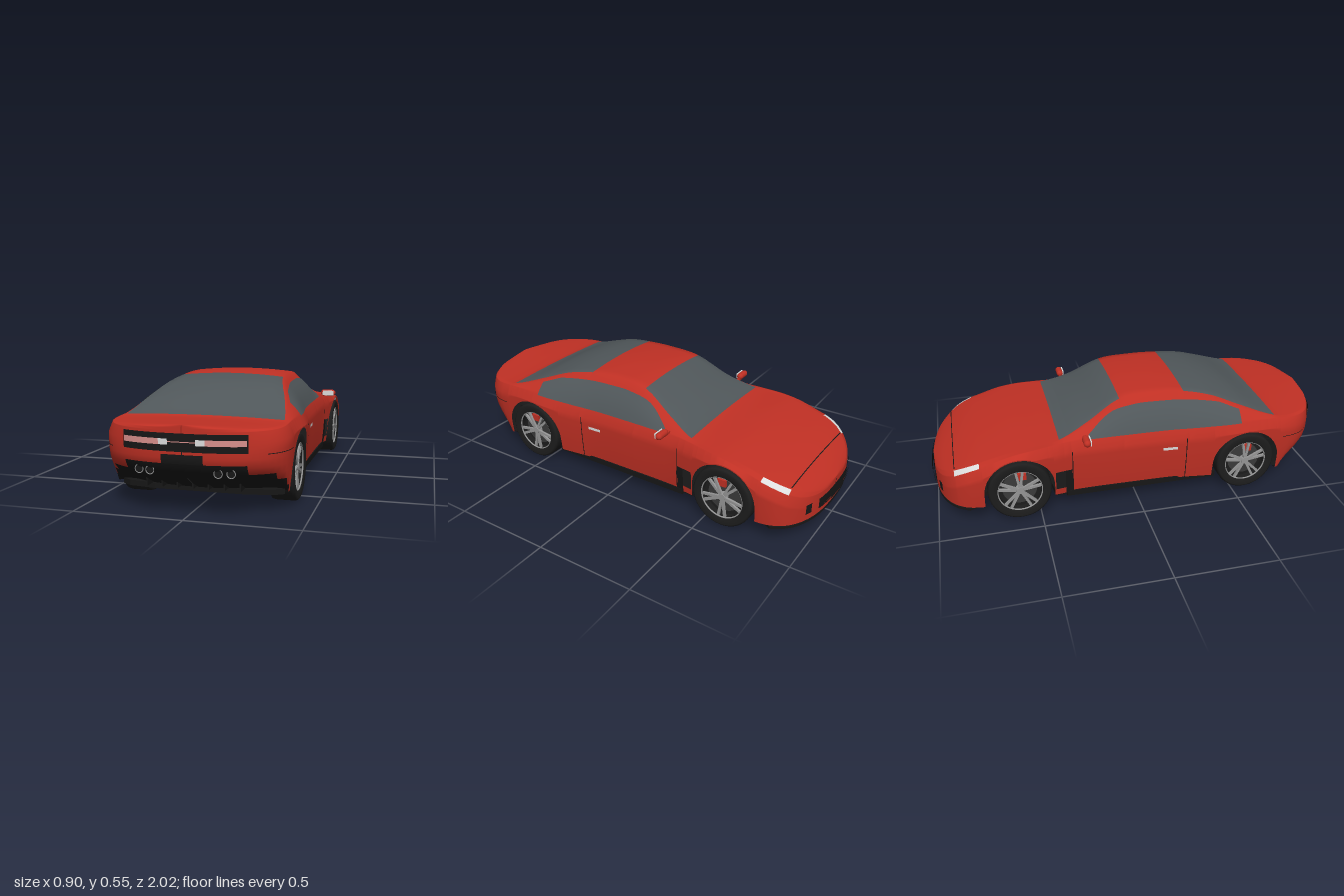
import * as THREE from 'three';

const mat = (name, color, double = true) => {
  const m = new THREE.MeshStandardMaterial({ color, side: double ? THREE.DoubleSide : THREE.FrontSide });
  m.name = name;
  return m;
};

// Smooth curve through (key, value) pairs
function curve(keys, vals) {
  const n = keys.length;
  const slope = i => {
    const a = Math.max(0, i - 1), b = Math.min(n - 1, i + 1);
    return (vals[b] - vals[a]) / (keys[b] - keys[a]);
  };
  return z => {
    z = Math.min(keys[n - 1], Math.max(keys[0], z));
    let i = 0;
    while (i < n - 2 && z > keys[i + 1]) i++;
    const h = keys[i + 1] - keys[i], t = (z - keys[i]) / h, t2 = t * t, t3 = t2 * t;
    return vals[i] * (2 * t3 - 3 * t2 + 1) + vals[i + 1] * (3 * t2 - 2 * t3)
      + h * (slope(i) * (t3 - 2 * t2 + t) + slope(i + 1) * (t3 - t2));
  };
}

// Surface grid; pick(i, j) gives a material index, or -1 for a hole
function grid(rows, cols, point, pick = () => 0) {
  const pos = [], lists = [];
  for (let i = 0; i <= rows; i++) for (let j = 0; j <= cols; j++) pos.push(...point(i, j));
  for (let i = 0; i < rows; i++) for (let j = 0; j < cols; j++) {
    const k = pick(i, j);
    if (k < 0) continue;
    const a = i * (cols + 1) + j, c = a + cols + 1;
    (lists[k] ??= []).push(a, a + 1, c, a + 1, c + 1, c);
  }
  const g = new THREE.BufferGeometry();
  g.setAttribute('position', new THREE.Float32BufferAttribute(pos, 3));
  g.setIndex(lists.flat());
  let start = 0;
  lists.forEach((l, k) => { g.addGroup(start, l.length, k); start += l.length; });
  g.computeVertexNormals();
  return g;
}

// Body curves along z (nose at -1, tail at +1)
const Z = [-1, -0.95, -0.85, -0.74, -0.6, -0.39, -0.24, -0.07, 0.1, 0.26, 0.4, 0.53, 0.72, 0.85, 1];
const topY = curve(Z, [.205, .245, .3, .335, .365, .387, .452, .535, .55, .542, .522, .483, .397, .392, .398]);
const beltY = curve(Z, [.19, .215, .275, .312, .35, .37, .37, .37, .37, .37, .375, .38, .382, .375, .372]);
const edgeX = curve(Z, [.34, .34, .345, .35, .35, .335, .29, .253, .25, .26, .288, .325, .365, .365, .36]);
const drop = curve(Z, [.012, .012, .012, .012, .012, .01, .02, .014, .014, .014, .02, .028, .008, .01, .012]);
const halfW = curve([-1, -.55, -.42, -.3, 0, .2, .35, .5, .7, 1], [.405, .405, .39, .377, .377, .382, .4, .417, .412, .41]);

const P = 2.5, ROUND = 0.25;
const ARCHES = [[-0.598, 0.172], [0.567, 0.177]], AXLE = 0.155;
const round = t => Math.pow(Math.max(0, 1 - Math.pow(t, P)), 1 / P);
const taper = z => Math.max(0.005, round(Math.max(0, 1 - (1 - Math.abs(z)) / ROUND)));
const undercut = (y, z) => 7 * Math.max(0, 0.26 - y) ** 2 * THREE.MathUtils.smoothstep(z, 0.74, 0.95);
const lowY = z => {
  for (const [c, r] of ARCHES) {
    const d = Math.abs(z - c);
    if (d <= r + 1e-6) return AXLE + Math.sqrt(Math.max(0, r * r - d * d));
  }
  return 0.088;
};
const shoulderY = z => Math.max(beltY(z) - 0.045, lowY(z) + 0.006);
const fullness = (y, ys) => 1 - 0.04 * (Math.max(0, ys - y) / 0.25) ** 2;
const sideX = (z, y) => halfW(z) * taper(z) * fullness(y, beltY(z) - 0.045);
const edgeY = z => topY(z) - drop(z);
// Pillar surface between belt (u = 0) and roof edge (u = 1)
function upper(z, u) {
  const xb = halfW(z) - 0.02, yb = beltY(z), yr = edgeY(z);
  const bulge = 0.08 * Math.max(0, yr - yb) * Math.sin(Math.PI * u);
  return [(xb + (edgeX(z) - xb) * u + bulge) * taper(z), yb + (yr - yb) * u];
}

const SIDE = 7, PILLAR = 6, ROOF = 6, HALF = SIDE + 1 + PILLAR + ROOF;
function section(z, k) {
  if (k <= SIDE) {
    const y = THREE.MathUtils.lerp(lowY(z), shoulderY(z), k / SIDE);
    return [sideX(z, y), y];
  }
  if (k <= SIDE + 1 + PILLAR) return upper(z, (k - SIDE - 1) / PILLAR);
  const u = 1 - (k - SIDE - 1 - PILLAR) / ROOF;
  return [edgeX(z) * taper(z) * u, edgeY(z) + drop(z) * (1 - u * u)];
}

export function createModel() {
  const car = new THREE.Group();
  car.name = 'car';
  const red = mat('red paint', 0xc03024), glass = mat('tinted glass', 0x50575a);
  const black = mat('black trim', 0x171717), white = mat('clear lamp', 0xdedede);
  const alloy = mat('alloy', 0x969696, false), rubber = mat('rubber', 0x1d1d1d);
  const lens = mat('tail lens', 0xd9908c), brake = mat('dark metal', 0x3a3a3a, false);
  const add = (parent, name, geo, m, x = 0, y = 0, z = 0) => {
    const mesh = new THREE.Mesh(geo, m);
    mesh.name = name;
    mesh.position.set(x, y, z);
    parent.add(mesh);
    return mesh;
  };

  // Body shell with wheel openings, glass and headlamps
  const st = [-0.9, -0.78, -0.42, -0.39, -0.37, -0.335, -0.07, 0.26, 0.72];
  for (let i = 0; i <= 40; i++) st.push(-0.75 + i * 0.0375);
  for (let k = 0; k <= 14; k++) { const d = ROUND * (k / 14) ** 2.5; st.push(-1 + d, 1 - d); }
  for (const [c, r] of ARCHES) {
    for (let k = 0; k <= 24; k++) st.push(c + r * Math.cos(Math.PI * k / 24));
    st.push(c - r - 0.001, c + r + 0.001);
  }
  const zs = st.sort((a, b) => a - b).filter((z, i) => !i || z - st[i - 1] > 1e-5);
  const within = (z, a, b) => z > a && z < b;
  const pick = (i, j) => {
    const z = (zs[i] + zs[i + 1]) / 2, k = j < HALF ? j : 2 * HALF - 1 - j;
    if (k > SIDE + PILLAR && (within(z, -.39, -.07) || within(z, .26, .72))) return 1;
    if (k > SIDE && k <= SIDE + PILLAR - 1 && within(z, -.9, -.78)) return 2;
    if (k >= 1 && k <= 3 && within(z, -.42, -.37)) return -1;
    if (k <= 3 && within(z, -.37, -.335)) return 3;
    if (z > 0.78 && k < (z > 0.9 ? 3 : z > 0.84 ? 2 : 1)) return 3;
    return 0;
  };
  add(car, 'bodyShell', grid(zs.length - 1, 2 * HALF, (i, j) => {
    const z = zs[i], [x, y] = section(z, j <= HALF ? j : 2 * HALF - j);
    return [j <= HALF ? x : -x, y, z - undercut(y, z)];
  }, pick), [red, glass, white, black]);

  // Curved thin plates on the flanks, nose and tail
  const sidePlate = (name, s, z0, z1, y0, y1, m, off = 0.003) => add(car, name, grid(8, 8, (i, j) => {
    const z = z0 + (z1 - z0) * i / 8, y = y0 + (y1 - y0) * j / 8;
    return [s * (sideX(z, y) + off), y, z - undercut(y, z)];
  }), m);
  const endPlate = (name, end, x0, x1, y0, y1, m, off = 0.004) => add(car, name, grid(16, 4, (i, j) => {
    const x = x0 + (x1 - x0) * i / 16, y = y0 + (y1 - y0) * j / 4;
    return [x, y, endZ(end, x, y) + end * off];
  }), m);
  const endZ = (end, x, y) => {
    const ys = beltY(end) - 0.045;
    const z = end * (1 - ROUND + ROUND * round(Math.abs(x) / (0.41 * fullness(y, ys))));
    return z - undercut(y, z);
  };

  const winTop = curve([-.25, -.12, 0, .1, .25, .4, .53], [.385, .472, .497, .5, .496, .48, .455]);
  for (const s of [1, -1]) {
    // Side window
    add(car, 'sideWindow', grid(40, 6, (i, j) => {
      const z = -0.245 + 0.775 * i / 40, yb = beltY(z), yr = edgeY(z);
      const top = Math.min(winTop(z), yr - 0.018);
      const [x, y] = upper(z, (top - yb) / (yr - yb) * j / 6);
      return [s * (x + 0.004), y + 0.002, z];
    }), glass);
    // Door seams, handle, bumper seam
    sidePlate('doorSeam', s, .247, .251, .09, .325, black, 0.002);
    sidePlate('doorSeam', s, -.335, -.331, .09, .325, black, 0.002);
    sidePlate('bumperSeam', s, .76, .92, .279, .282, black, 0.002);
    sidePlate('doorHandle', s, .125, .2, .27, .285, alloy, 0.008).material = white;
    add(car, 'sill', new THREE.BoxGeometry(0.03, 0.03, 0.78), black, s * 0.355, 0.082, 0.025);
    // Door mirror
    const mirror = new THREE.Group();
    mirror.name = 'mirror';
    const housing = add(mirror, 'mirrorHousing', new THREE.CapsuleGeometry(0.018, 0.045, 6, 12), red, s * 0.408, 0.393, -0.268);
    housing.rotation.z = Math.PI / 2;
    add(mirror, 'mirrorGlass', new THREE.BoxGeometry(0.06, 0.026, 0.006), white, s * 0.41, 0.393, -0.25);
    add(mirror, 'mirrorArm', new THREE.BoxGeometry(0.05, 0.012, 0.015), red, s * 0.37, 0.38, -0.268);
    car.add(mirror);
    // Tail lamps and exhausts
    endPlate('tailLens', 1, s * 0.1, s * 0.265, .315, .34, lens, 0.007);
    endPlate('reverseLamp', 1, s * 0.06, s * 0.1, .315, .34, white, 0.007);
    for (const x of [0.148, 0.2]) {
      add(car, 'exhaustRing', new THREE.TorusGeometry(0.018, 0.002, 6, 24), alloy, s * x, 0.2, endZ(1, x, 0.2) + 0.014);
      const pipe = add(car, 'exhaustPipe', new THREE.CylinderGeometry(0.018, 0.018, 0.04, 24), black, s * x, 0.2, endZ(1, x, 0.2) - 0.007);
      pipe.rotation.x = Math.PI / 2;
    }
    endPlate('noseVent', -1, s * 0.235, s * 0.27, .125, .175, black);
  }

  // Tail panels
  endPlate('tailLampPanel', 1, -.27, .27, .287, .363, black);
  endPlate('tailLampBar', 1, -.06, .06, .326, .33, lens, 0.007);
  endPlate('plateRecess', 1, -.09, .09, .23, .275, black);
  endPlate('rearValance', 1, -.265, .265, .165, .236, black, 0.006);
  for (let i = -3; i <= 3; i++)
    add(car, 'diffuserFin', new THREE.BoxGeometry(0.006, 0.05, 0.12), black, i * 0.07, 0.125, 0.81);

  // Nose grille, bars and bonnet seam
  endPlate('grille', -1, -.18, .18, .12, .172, black);
  for (const y of [.13, .147, .163]) endPlate('grilleBar', -1, -.19, .19, y - .003, y + .003, black, 0.012);
  endPlate('frontPlate', -1, -.08, .08, .125, .165, black, 0.014);
  add(car, 'bonnetSeam', grid(1, 24, (i, j) => {
    const z = -0.9 + i * 0.004, u = j / 12 - 1;
    return [edgeX(z) * taper(z) * u, edgeY(z) + drop(z) * (1 - u * u) + 0.002, z];
  }), black);

  // Underbody and front splitter
  const slab = (name, half, thick, y) => {
    const pts = [...half, ...half.map(([x, z]) => [-x, z]).reverse()];
    const shape = new THREE.Shape(pts.map(([x, z]) => new THREE.Vector2(x, z)));
    const g = new THREE.ExtrudeGeometry(shape, { depth: thick, bevelEnabled: false });
    g.rotateX(Math.PI / 2);
    add(car, name, g, black, 0, y, 0);
  };
  slab('underbody', [[.3, -.9], [.36, -.78], [.28, -.77], [.28, -.43], [.36, -.42], [.36, .39], [.28, .4], [.28, .74],
    [.375, .75], [.33, .78], [.2, .8]], 0.025, 0.097);
  const lip = [];
  for (let k = 0; k <= 12; k++) {
    const a = k / 12 * 0.39;
    lip.push([a + 0.001, -0.75 - 0.25 * round(a / 0.405)]);
  }
  slab('frontSplitter', [...lip, [.36, -.775]], 0.012, 0.085);

  // Wheels
  const tyreGeo = new THREE.LatheGeometry([[.108, -.05], [.112, -.056], [.143, -.06], [.152, -.054], [.155, -.042], [.155, .042],
    [.152, .054], [.143, .06], [.112, .056], [.108, .05], [.108, -.05]].map(p => new THREE.Vector2(...p)), 48);
  for (const s of [1, -1]) for (const [zc] of ARCHES) {
    const wheel = new THREE.Group(), spin = new THREE.Group();
    wheel.name = 'wheel';
    spin.name = 'wheelRim';
    wheel.position.set(s * 0.349, AXLE, zc);
    spin.rotation.z = -s * Math.PI / 2;
    wheel.add(spin);
    add(spin, 'tyre', tyreGeo, rubber);
    add(spin, 'rimBack', new THREE.CylinderGeometry(0.109, 0.109, 0.03, 36), rubber);
    add(spin, 'brakeDisc', new THREE.CylinderGeometry(0.085, 0.085, 0.01, 36), brake, 0, 0.02, 0);
    add(spin, 'hub', new THREE.CylinderGeometry(0.018, 0.022, 0.03, 20), alloy, 0, 0.038, 0);
    const rim = add(spin, 'rimRing', new THREE.TorusGeometry(0.109, 0.004, 8, 48), alloy, 0, 0.05, 0);
    rim.rotation.x = Math.PI / 2;
    for (let k = 0; k < 10; k++) {
      const a = Math.floor(k / 2) * Math.PI * 0.4 + (k % 2 ? 0.16 : -0.16);
      const spoke = add(spin, 'spoke', new THREE.BoxGeometry(0.092, 0.012, 0.012), alloy, Math.cos(a) * 0.062, 0.043, -Math.sin(a) * 0.062);
      spoke.rotation.y = a;
    }
    add(wheel, 'brakeCaliper', new THREE.BoxGeometry(0.02, 0.035, 0.045), red, s * 0.028, 0.068, 0.012);
    car.add(wheel);
  }
  return car;
}
